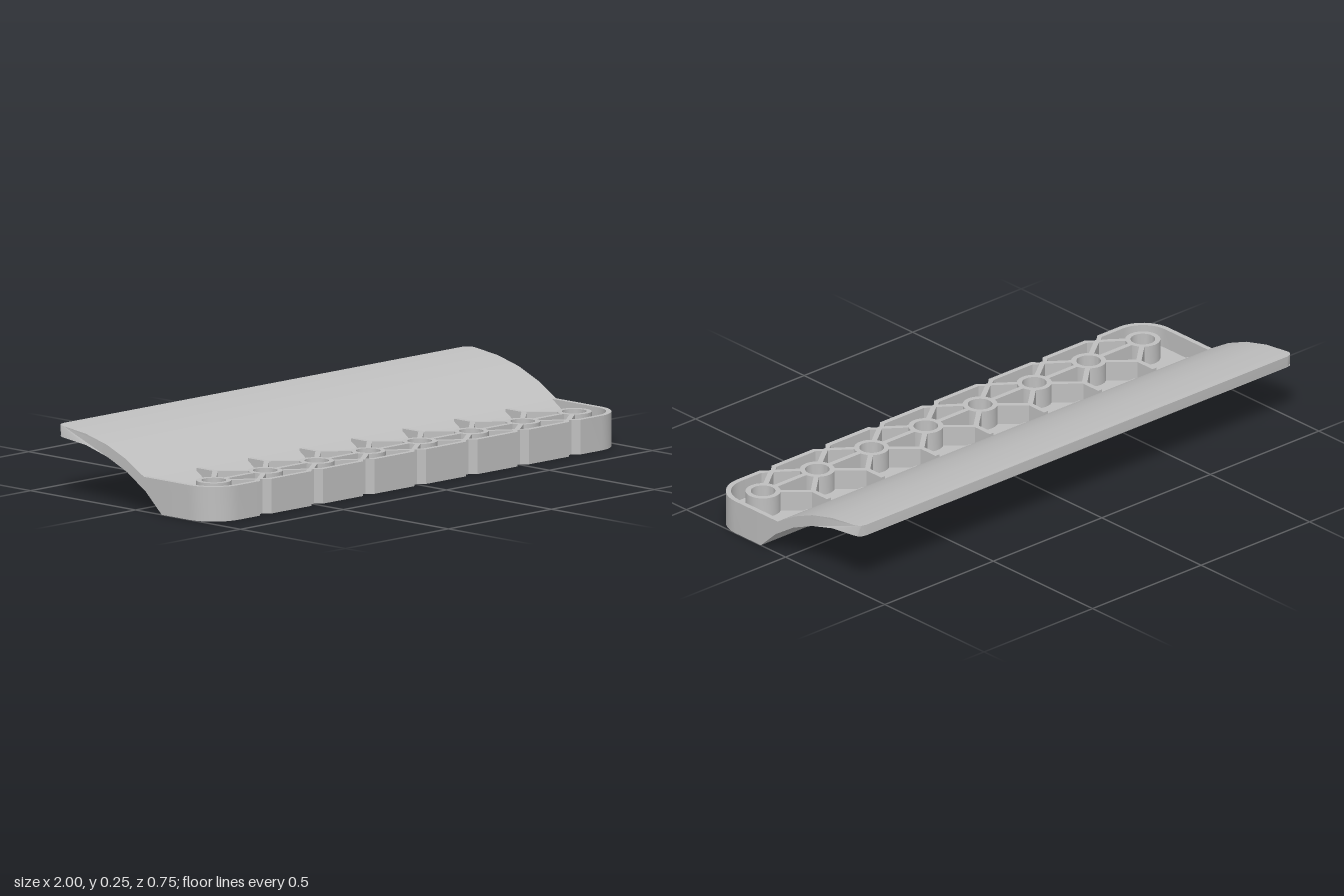
import * as THREE from 'three';
import { toCreasedNormals } from 'three/addons/utils/BufferGeometryUtils.js';

const HEIGHT = 0.12, WALL = 0.018, BOSS_Z = 0.25, HOLE_R = 0.042, BOSS_R = 0.06;
const bossXs = Array.from({ length: 8 }, (_, i) => -0.875 + i * 0.25);
const nodeXs = Array.from({ length: 7 }, (_, i) => -0.75 + i * 0.25);

// Plan outline of the base, inset by o, running left to right around the front
function outline(o, z0) {
  const pts = [[-1 + o, z0]], r = 0.12 - o, c = 0.88, zc = 0.255;
  for (let i = 0; i <= 10; i++) {
    const a = (i / 10) * Math.PI / 2;
    pts.push([-c - r * Math.cos(a), zc + r * Math.sin(a)]);
  }
  for (const x of nodeXs) {
    const w = 0.028 + o * 0.4, z = zc + r;
    pts.push([x - w, z], [x - 0.006, z - 0.022], [x + 0.006, z - 0.022], [x + w, z]);
  }
  for (let i = 10; i >= 0; i--) {
    const a = (i / 10) * Math.PI / 2;
    pts.push([c + r * Math.cos(a), zc + r * Math.sin(a)]);
  }
  pts.push([1 - o, z0]);
  return pts;
}

const planShape = (pts) => new THREE.Shape(pts.map(([x, z]) => new THREE.Vector2(x, -z)));

// Extrude a plan (x, z) shape upward from y0 to y1
function extrudeUp(shape, y0, y1) {
  const g = new THREE.ExtrudeGeometry(shape, { depth: y1 - y0, bevelEnabled: false, curveSegments: 16 });
  return g.rotateX(-Math.PI / 2).translate(0, y0, 0);
}

// Extrude a side profile of [z, y] points along x from x0 to x1
function extrudeAcross(pts, x0, x1) {
  const shape = new THREE.Shape(pts.map(([z, y]) => new THREE.Vector2(-z, y)));
  const g = new THREE.ExtrudeGeometry(shape, { depth: x1 - x0, bevelEnabled: false });
  return g.rotateY(Math.PI / 2).translate(x0, 0, 0);
}

function circle(x, z, r) {
  const p = new THREE.Path();
  p.absarc(x, -z, r, 0, Math.PI * 2, true);
  return p;
}

export function createModel() {
  const model = new THREE.Group();
  model.name = 'bladeBracket';
  const grey = new THREE.MeshStandardMaterial({ color: 0xbfbfbf });
  grey.name = 'plain grey';

  const add = (name, geometry) => {
    const mesh = new THREE.Mesh(toCreasedNormals(geometry, 0.5), grey);
    mesh.name = name;
    model.add(mesh);
    return mesh;
  };

  // Curved blade with a low ledge at its foot
  const blade = extrudeAcross([
    [0.125, 0], [0.14, 0], [0.14, 0.057], [0.12, 0.057], [0.077, 0.096], [0.04, 0.12],
    [-0.045, 0.17], [-0.135, 0.207], [-0.235, 0.232], [-0.345, 0.245], [-0.358, 0.246],
    [-0.369, 0.2465], [-0.375, 0.247], [-0.375, 0.207], [-0.369, 0.2065], [-0.358, 0.206],
    [-0.345, 0.205], [-0.235, 0.193], [-0.135, 0.166], [-0.04, 0.126], [0.05, 0.069],
  ], -1, 1);
  // Keep the foot inside the side walls and round the rear corners
  const pos = blade.attributes.position;
  for (let i = 0; i < pos.count; i++) {
    const d = -0.345 - pos.getZ(i);
    if (d > 0) {
      const x = 0.97 + Math.sqrt(Math.max(0, 0.0009 - d * d));
      pos.setX(i, Math.sign(pos.getX(i)) * x);
    }
  }
  add('blade', blade);

  // Notched rim wall around the front and sides
  const rim = [...outline(0, 0.13), ...outline(WALL, 0.13).reverse()];
  add('rimWall', extrudeUp(planShape(rim), 0, HEIGHT));

  // Side cheeks joining the rim to the blade
  for (const s of [-1, 1]) {
    const x0 = s < 0 ? -1 : 1 - WALL;
    add('sideCheek', extrudeAcross(
      [[0.13, 0], [0.13, HEIGHT], [0.04, HEIGHT], [0.05, 0.069], [0.125, 0]], x0, x0 + WALL));
  }

  // Thin floor web pierced by the bolt holes
  const web = planShape(outline(WALL * 0.6, 0.135));
  for (const x of bossXs) web.holes.push(circle(x, BOSS_Z, HOLE_R));
  add('floorWeb', extrudeUp(web, 0.035, 0.05));

  // Round bosses
  for (const x of bossXs) {
    const ring = new THREE.Shape();
    ring.absarc(x, -BOSS_Z, BOSS_R, 0, Math.PI * 2, false);
    ring.holes.push(circle(x, BOSS_Z, HOLE_R));
    add('boss', extrudeUp(ring, 0, HEIGHT));
  }

  // Upright rib between two plan points
  const rib = (name, x1, z1, x2, z2, t = 0.018) => {
    const dx = x2 - x1, dz = z2 - z1;
    const g = new THREE.BoxGeometry(Math.hypot(dx, dz), HEIGHT, t);
    g.rotateY(-Math.atan2(dz, dx)).translate((x1 + x2) / 2, HEIGHT / 2, (z1 + z2) / 2);
    add(name, g);
  };

  // Lattice of ribs around every node between two bosses
  for (const n of nodeXs) {
    rib('crossRib', n - 0.073, BOSS_Z, n + 0.073, BOSS_Z);
    for (const s of [-1, 1]) {
      rib('rearDiagonalRib', n, 0.134, n + s * 0.089, 0.215);
      rib('frontDiagonalRib', n, 0.345, n + s * 0.086, 0.281);
    }
    // Stem running up the blade
    add('stemRib', extrudeAcross(
      [[0.055, HEIGHT], [0.14, HEIGHT], [0.14, 0.03], [0.12, 0.05], [0.075, 0.09], [0.055, 0.1]],
      n - 0.009, n + 0.009));
  }
  return model;
}
